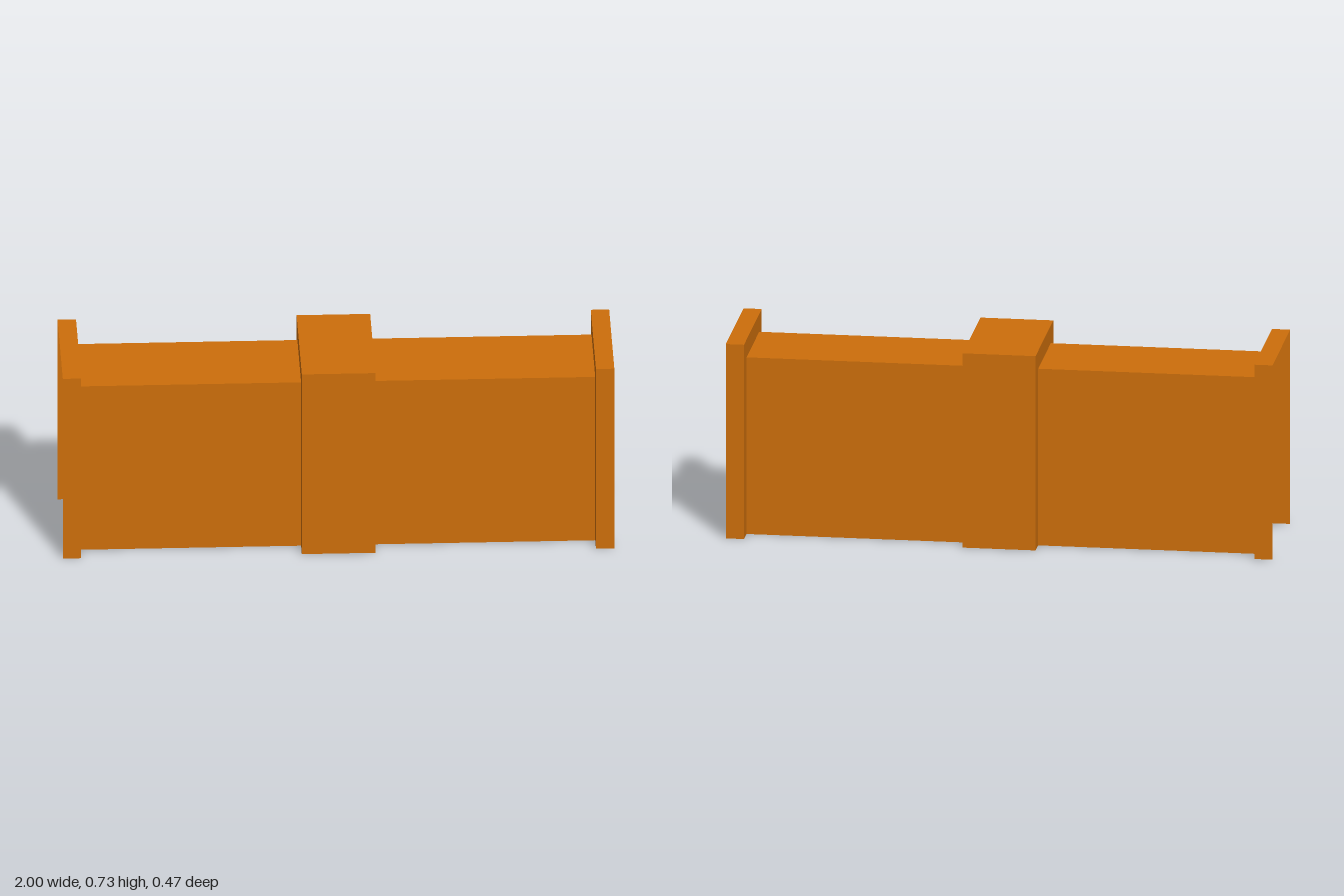
import * as THREE from 'three';

const INNER = { half: 0.1667, height: 0.6667 };
const OUTER = { half: 0.2333, height: 0.7333 };
const END = 1, LIP = 0.9333, BAND = 0.1333;

const material = new THREE.MeshStandardMaterial({
  color: 0xcc6e0b, flatShading: true, side: THREE.DoubleSide,
});

// Upside-down U outline as [z, y], running front to back
const outline = ({ half, height }) => [[half, 0], [half, height], [-half, height], [-half, 0]];

// Thin open channel: the outline swept along x
function channel(name, x0, x1, size) {
  const points = outline(size);
  const positions = [];
  for (let i = 0; i < points.length - 1; i++) {
    const [za, ya] = points[i];
    const [zb, yb] = points[i + 1];
    const a0 = [x0, ya, za], a1 = [x1, ya, za], b0 = [x0, yb, zb], b1 = [x1, yb, zb];
    positions.push(...a0, ...a1, ...b1, ...a0, ...b1, ...b0);
  }
  const geometry = new THREE.BufferGeometry();
  geometry.setAttribute('position', new THREE.Float32BufferAttribute(positions, 3));
  geometry.computeVertexNormals();
  const mesh = new THREE.Mesh(geometry, material);
  mesh.name = name;
  return mesh;
}

// Flat U-shaped step joining the small channel to the large one
function step(name, x, facing) {
  const points = [...outline(OUTER), ...outline(INNER).reverse()];
  const shape = new THREE.Shape(points.map(([z, y]) => new THREE.Vector2(z, y)));
  const mesh = new THREE.Mesh(new THREE.ShapeGeometry(shape), material);
  mesh.rotation.y = facing * Math.PI / 2;
  mesh.position.x = x;
  mesh.name = name;
  return mesh;
}

export function createModel() {
  const model = new THREE.Group();
  model.name = 'steppedChannelCover';

  // Raised band in the middle
  model.add(channel('middleBand', -BAND, BAND, OUTER));

  // Each half: body, end lip and the two steps between them
  for (const [side, s] of [['left', 1], ['right', -1]]) {
    const span = (a, b) => (s > 0 ? [a, b] : [-b, -a]);
    model.add(
      channel(side + 'Body', ...span(BAND, LIP), INNER),
      channel(side + 'EndLip', ...span(LIP, END), OUTER),
      step(side + 'BandStep', s * BAND, s),
      step(side + 'LipStep', s * LIP, -s),
    );
  }
  return model;
}
